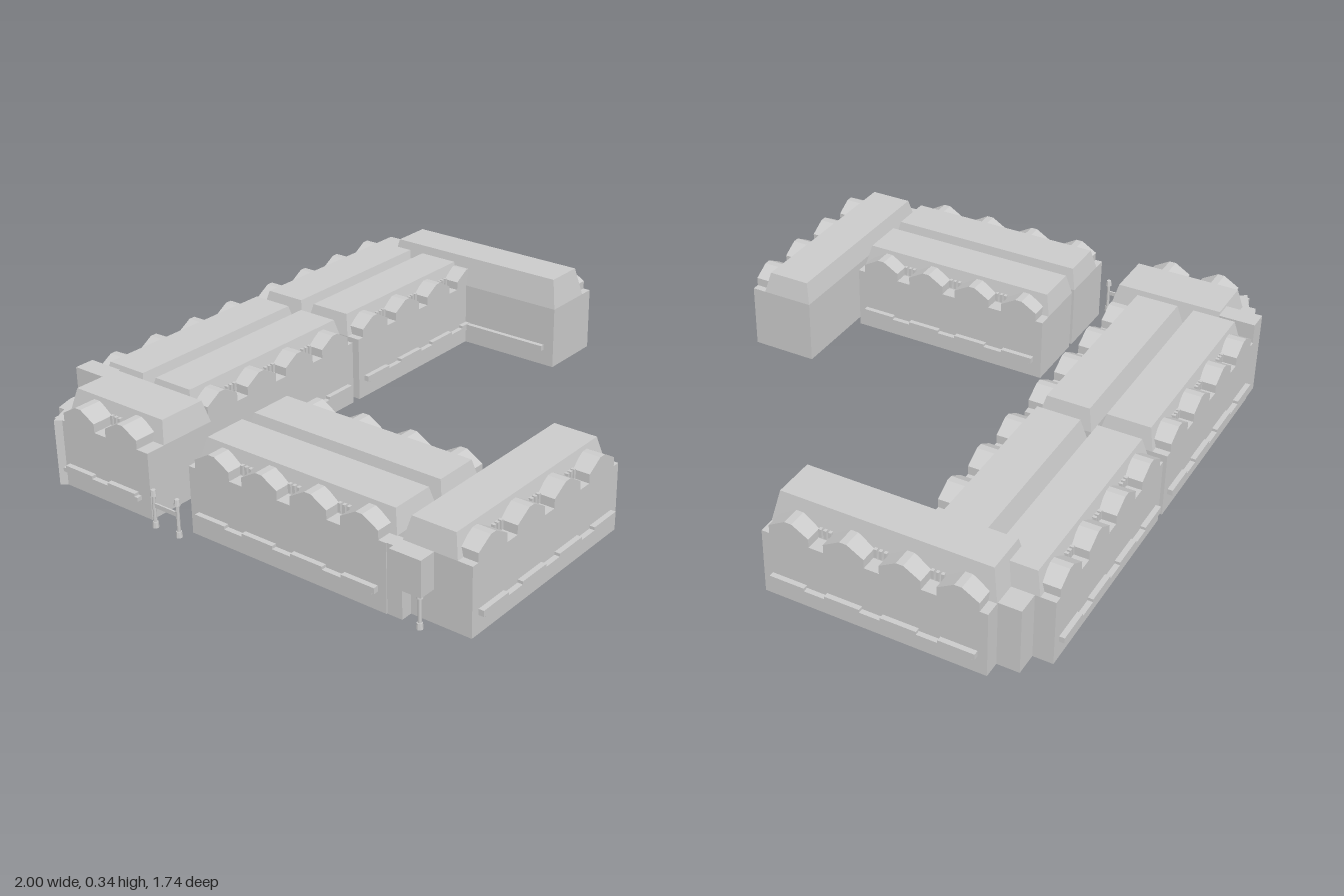
import * as THREE from 'three';

const material = new THREE.MeshStandardMaterial({ color: 0xcccccc, flatShading: true, side: THREE.DoubleSide });
const EAVE = 0.23;

function add(parent, name, geometry, x = 0, y = 0, z = 0) {
  const mesh = new THREE.Mesh(geometry, material);
  mesh.name = name;
  mesh.position.set(x, y, z);
  parent.add(mesh);
  return mesh;
}

// Box given by its limits
function block(parent, name, x0, x1, y0, y1, z0, z1) {
  return add(parent, name, new THREE.BoxGeometry(x1 - x0, y1 - y0, z1 - z0),
    (x0 + x1) / 2, (y0 + y1) / 2, (z0 + z1) / 2);
}

// Shell lofted through rectangles [x0, x1, z0, z1, y], capped on top, open below
function loft(rings) {
  const corners = rings.map(([x0, x1, z0, z1, y]) =>
    [[x0, y, z1], [x1, y, z1], [x1, y, z0], [x0, y, z0]]);
  const points = [];
  const quad = (a, b, c, d) => points.push(...a, ...b, ...c, ...a, ...c, ...d);
  for (let i = 0; i < corners.length - 1; i++) {
    for (let j = 0; j < 4; j++) {
      const k = (j + 1) % 4;
      quad(corners[i][j], corners[i][k], corners[i + 1][k], corners[i + 1][j]);
    }
  }
  quad(...corners[corners.length - 1]);
  const geometry = new THREE.BufferGeometry();
  geometry.setAttribute('position', new THREE.Float32BufferAttribute(points, 3));
  geometry.computeVertexNormals();
  return geometry;
}

// Gabled dormer front, pushed back into the roof
function dormerGeometry(width, depth) {
  const w = width / 2;
  const shape = new THREE.Shape([[-w, EAVE], [w, EAVE], [w, 0.26], [0.012, 0.293], [-0.012, 0.293], [-w, 0.26]]
    .map(p => new THREE.Vector2(...p)));
  return new THREE.ExtrudeGeometry(shape, { depth, bevelEnabled: false });
}

// Stepped ledge that runs along a wall
function addLedge(parent, length, z, count) {
  block(parent, 'ledge', -length / 2, length / 2, 0.058, 0.072, z, z + 0.018);
  for (let i = 0; i < count; i++) {
    const x = (i - (count - 1) / 2) * 0.19;
    block(parent, 'ledgeStep', x - 0.06, x + 0.06, 0.062, 0.082, z, z + 0.018);
  }
}

// One building range; its dormer side faces the given angle
function addRange(root, name, x0, x1, z0, z1, angle, options = {}) {
  const { top = 0.305, count = 4, terrace = 0.05, inset = 0.018 } = options;
  const group = new THREE.Group();
  group.name = name;
  group.position.set((x0 + x1) / 2, 0, (z0 + z1) / 2);
  group.rotation.y = angle;
  root.add(group);
  const turned = Math.abs(Math.sin(angle)) > 0.5;
  const w = (turned ? z1 - z0 : x1 - x0) / 2;
  const d = (turned ? x1 - x0 : z1 - z0) / 2;

  // Walls, terrace and flat-topped hip roof
  add(group, 'wallsAndRoof', loft([
    [-w, w, -d, d, 0],
    [-w, w, -d, d, EAVE],
    [-w, w, -d, d - terrace, EAVE],
    [-w + inset, w - inset, -d + inset, d - terrace - inset, top],
  ]));

  // Dormers with window slits between them
  const dormer = dormerGeometry(0.137, terrace + 0.012);
  for (let i = 0; i < count; i++) {
    const x = (i - (count - 1) / 2) * 0.187;
    add(group, 'dormer', dormer, x, 0, d - terrace - 0.012);
    if (i === count - 1) continue;
    for (const s of [-1, 0, 1]) {
      const c = x + 0.0935 + s * 0.017;
      block(group, 'windowSlit', c - 0.005, c + 0.005, 0.236, 0.266, d - terrace - 0.012, d - terrace + 0.004);
    }
  }
  addLedge(group, 2 * w - 0.08, d, count);
  return group;
}

// Short bollard with a foot and a cap
function addPost(root, x, z, height) {
  const group = new THREE.Group();
  group.name = 'post';
  group.position.set(x, 0, z);
  root.add(group);
  add(group, 'shaft', new THREE.CylinderGeometry(0.006, 0.006, height, 8), 0, height / 2, 0);
  add(group, 'foot', new THREE.CylinderGeometry(0.009, 0.011, 0.02, 8), 0, 0.01, 0);
  add(group, 'cap', new THREE.CylinderGeometry(0.008, 0.011, 0.02, 8), 0, height - 0.01, 0);
}

export function createModel() {
  const root = new THREE.Group();
  root.name = 'courtyardBuildings';
  const FRONT = 0, BACK = Math.PI, EAST = Math.PI / 2, WEST = -Math.PI / 2;

  // Paired ranges along the back
  addRange(root, 'backOuterRangeA', -0.687, 0.063, -0.852, -0.615, BACK);
  addRange(root, 'backInnerRangeA', -0.687, 0.063, -0.592, -0.355, FRONT);
  addRange(root, 'backOuterRangeB', 0.096, 0.846, -0.852, -0.615, BACK);
  addRange(root, 'backInnerRangeB', 0.096, 0.846, -0.592, -0.355, FRONT);

  // Taller range at the +x end, with a ledge on the courtyard side too
  const tall = addRange(root, 'tallEndRange', 0.74, 0.982, -0.71, 0.042, EAST,
    { top: 0.335, inset: 0.022, terrace: 0.053 });
  block(tall, 'courtyardLedge', -0.335, 0.335, 0.06, 0.08, -0.139, -0.121);
  block(root, 'cornerLink', 0.84, 0.925, 0, EAVE, -0.785, -0.7);

  // Short corner range with its stepped corner and tower
  addRange(root, 'cornerRange', -0.963, -0.685, -0.735, -0.32, WEST, { count: 2, terrace: 0.07 });
  const corner = new THREE.Shape([[-0.963, 0.7], [-0.98, 0.72], [-0.905, 0.755], [-0.905, 0.78], [-0.84, 0.8],
    [-0.76, 0.8], [-0.76, 0.7]].map(p => new THREE.Vector2(...p)));
  add(root, 'steppedCorner', new THREE.ExtrudeGeometry(corner, { depth: EAVE, bevelEnabled: false }))
    .rotation.x = -Math.PI / 2;
  block(root, 'cornerTower', -0.76, -0.688, 0, 0.3, -0.85, -0.72);

  // Paired ranges along the -x side
  addRange(root, 'sideOuterRange', -0.943, -0.705, -0.165, 0.587, WEST);
  addRange(root, 'sideInnerRange', -0.685, -0.447, -0.165, 0.587, EAST);

  // Front range and its corner links
  addRange(root, 'frontRange', -0.9, -0.15, 0.612, 0.85, FRONT);
  block(root, 'frontLink', -0.83, -0.705, 0, EAVE, 0.58, 0.62);
  block(root, 'cornerLink', -0.94, -0.89, 0, EAVE, 0.58, 0.64);
  block(root, 'overhangingCorner', -0.96, -0.89, 0.11, EAVE, 0.61, 0.72);
  addPost(root, -0.945, 0.705, 0.12);

  // Gate posts between the side and corner ranges
  for (const z of [-0.28, -0.18]) addPost(root, -0.987, z, 0.13);
  block(root, 'gateRail', -0.99, -0.984, 0.07, 0.085, -0.28, -0.18);
  return root;
}
